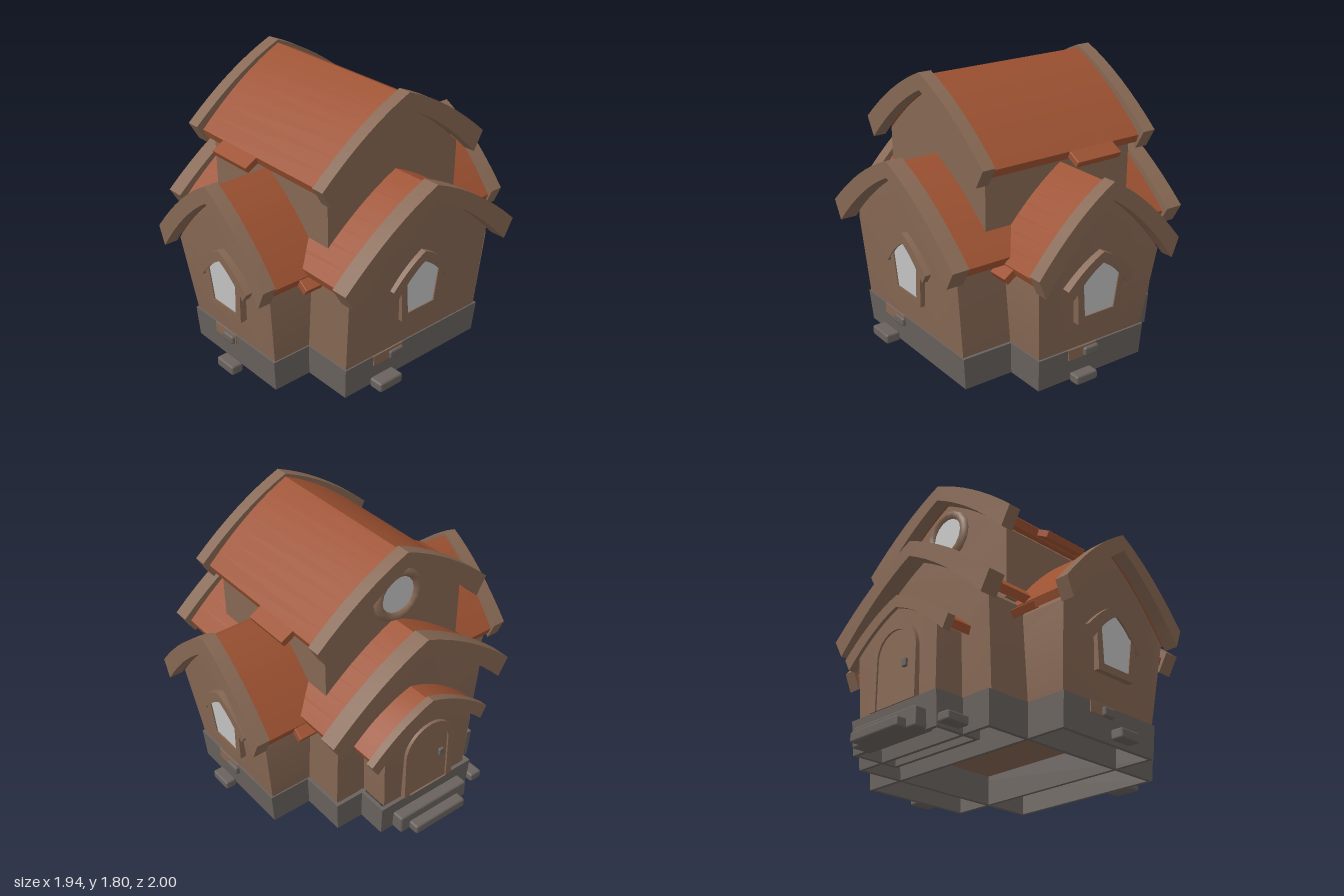
import * as THREE from 'three';
import { toCreasedNormals } from 'three/addons/utils/BufferGeometryUtils.js';
import { RoundedBoxGeometry } from 'three/addons/geometries/RoundedBoxGeometry.js';

const mat = (name, color) => {
  const m = new THREE.MeshStandardMaterial({ color });
  m.name = name;
  return m;
};

export function createModel() {
  const wood = mat('brown wood', 0x866753);
  const tile = mat('orange roof', 0x9c5131);
  const stone = mat('grey stone', 0x69625e);
  const glass = mat('pale glass', 0xc6c6c6);

  const house = new THREE.Group();
  house.name = 'house';

  const add = (parent, name, geometry, material, x = 0, y = 0, z = 0) => {
    const m = new THREE.Mesh(geometry, material);
    m.name = name;
    m.position.set(x, y, z);
    parent.add(m);
    return m;
  };
  const group = (parent, name, x = 0, y = 0, z = 0, turn = 0) => {
    const g = new THREE.Group();
    g.name = name;
    g.position.set(x, y, z);
    g.rotation.y = turn;
    parent.add(g);
    return g;
  };
  const block = (parent, name, material, x0, x1, y0, y1, z0, z1, r = 0.014) =>
    add(parent, name, new RoundedBoxGeometry(x1 - x0, y1 - y0, z1 - z0, 1, r), material,
      (x0 + x1) / 2, (y0 + y1) / 2, (z0 + z1) / 2);

  const shapeOf = pts => new THREE.Shape(pts.map(p => new THREE.Vector2(p[0], p[1])));
  const extrude = (shape, w0, w1) =>
    new THREE.ExtrudeGeometry(shape, { depth: w1 - w0, bevelEnabled: false, curveSegments: 8 }).translate(0, 0, w0);

  // Bowed gable line: height at a distance u from the ridge
  const lineY = (c, u) => {
    const t = Math.abs(u) / c.half;
    return c.apex + (c.tip - c.apex) * t + 4 * c.bow * t * (1 - t);
  };
  const innerLine = (c, k) => ({ half: c.half - k[0], apex: c.apex - k[1], tip: c.tip - k[2], bow: c.bow });
  const linePoints = (c, reach, n = 8) => {
    const pts = [];
    for (let i = -n; i <= n; i++) pts.push([reach * i / n, lineY(c, reach * i / n)]);
    return pts;
  };
  // Chevron band between an outer and an inner gable line
  const band = (c, k, w0, w1) => {
    const inner = innerLine(c, k);
    const pts = [...linePoints(c, c.half).reverse(), ...linePoints(inner, inner.half)];
    return toCreasedNormals(extrude(shapeOf(pts), w0, w1), 0.5);
  };

  // Wing: flared gabled walls, tiled roof and barge boards, running along local z
  const wing = (g, o) => {
    const inner = innerLine(o.roof, o.thick);
    const top = o.half[1];
    const pts = [[o.half[0], o.base], [top, o.eave], ...linePoints(inner, top - 0.001).reverse(),
      [-top, o.eave], [-o.half[0], o.base]];
    const walls = extrude(shapeOf(pts), o.w[0], o.w[1]);
    const p = walls.attributes.position;
    for (let i = 0; i < p.count; i++) {
      const k = Math.min(1, (p.getY(i) - o.base) / (o.eave - o.base));
      const far = Math.abs(p.getZ(i) - o.w[1]) < 1e-4;
      p.setZ(i, p.getZ(i) + k * (far ? o.flare[1] : -o.flare[0]));
    }
    add(g, 'walls', toCreasedNormals(walls, 0.4), wood);
    const tiles = { half: o.tileHalf, apex: o.roof.apex - 0.02, tip: o.tileTip, bow: o.roof.bow };
    add(g, 'roof', band(tiles, [0.02, 0.07, 0.05], o.tiles[0], o.tiles[1]), tile);
    for (const [a, b] of o.boards) add(g, 'bargeBoard', band(o.roof, o.thick, a, b), wood);
  };

  const HALF = Math.PI / 2;
  const thick = [0.07, 0.105, 0.12];

  const crossWing = group(house, 'frontBackWing', 0.085);
  wing(crossWing, {
    half: [0.395, 0.45], base: 0.2, eave: 0.73, w: [-0.83, 0.83], flare: [0.07, 0.07],
    roof: { half: 0.525, apex: 1.29, tip: 0.82, bow: 0.045 }, thick: [0.05, 0.11, 0.12],
    tileHalf: 0.495, tileTip: 0.785, tiles: [-0.915, 0.915], boards: [[-1, -0.91], [0.91, 1]],
  });

  const sideWing = group(house, 'sideWing', 0, 0, 0.01, HALF);
  wing(sideWing, {
    half: [0.555, 0.575], base: 0.2, eave: 0.74, w: [-0.6, 0.82], flare: [0.04, 0.045],
    roof: { half: 0.7, apex: 1.31, tip: 0.85, bow: 0.045 }, thick,
    tileHalf: 0.655, tileTip: 0.825, tiles: [-0.65, 0.87], boards: [[-0.76, -0.64], [0.86, 0.97]],
  });

  const upper = group(house, 'upperStorey', 0, 0, 0.015, HALF);
  wing(upper, {
    half: [0.52, 0.525], base: 0.85, eave: 1.27, w: [-0.45, 0.625], flare: [0, 0],
    roof: { half: 0.65, apex: 1.8, tip: 1.38, bow: 0.04 }, thick,
    tileHalf: 0.605, tileTip: 1.352, tiles: [-0.47, 0.65], boards: [[-0.55, -0.46], [0.64, 0.725]],
  });

  const porch = group(house, 'porch', 0, 0, 0, -HALF);
  wing(porch, {
    half: [0.33, 0.35], base: 0.2, eave: 0.58, w: [0.5, 0.8], flare: [0, 0.018],
    roof: { half: 0.465, apex: 0.91, tip: 0.63, bow: 0.035 }, thick: [0.045, 0.08, 0.08],
    tileHalf: 0.43, tileTip: 0.63, tiles: [0.58, 0.79], boards: [[0.785, 0.84]],
  });

  // Pointed window with frame and hood
  const addWindow = (x, y, z, turn, tilt) => {
    const g = group(group(house, 'window', x, y, z, turn), 'windowParts');
    g.rotation.x = tilt;
    const pane = [[-0.11, -0.16], [0.11, -0.16], [0.137, 0.08], [0, 0.17], [-0.137, 0.08]];
    const frame = shapeOf([[-0.155, -0.205], [0.155, -0.205], [0.18, 0.08], [0, 0.2], [-0.18, 0.08]]);
    frame.holes.push(shapeOf(pane));
    add(g, 'windowFrame', extrude(frame, -0.03, 0.026), wood);
    add(g, 'windowPane', extrude(shapeOf(pane), 0.01, 0.018), glass);
    add(g, 'windowHood', band({ half: 0.25, apex: 0.24, tip: 0.045, bow: 0.02 }, [0.045, 0.07, 0.065], -0.04, 0.032), wood);
  };
  addWindow(0.085, 0.6, 0.883, 0, 0.06);
  addWindow(0.085, 0.6, -0.883, Math.PI, 0.06);
  addWindow(0.85, 0.6, 0, HALF, 0.04);

  // Round attic window above the porch
  const attic = group(house, 'roundWindow', -0.452, 1.46, 0.025, -HALF);
  add(attic, 'roundFrame', new THREE.TorusGeometry(0.15, 0.032, 6, 16), wood);
  add(attic, 'roundPane', new THREE.CircleGeometry(0.14, 16), glass, 0, 0, 0.008);

  // Arched door
  const arch = (r, top) => {
    const s = new THREE.Shape();
    s.moveTo(-r, 0.21);
    s.lineTo(r, 0.21);
    s.lineTo(r, top);
    s.absarc(0, top, r, 0, Math.PI, false);
    s.closePath();
    return s;
  };
  const doorFrame = arch(0.195, 0.53);
  doorFrame.holes.push(arch(0.15, 0.53));
  add(porch, 'doorFrame', toCreasedNormals(extrude(doorFrame, 0.79, 0.838), 0.5), wood);
  add(porch, 'door', extrude(arch(0.152, 0.53), 0.79, 0.826), wood);
  block(porch, 'doorHandle', stone, 0.08, 0.115, 0.42, 0.47, 0.82, 0.845, 0.005);

  // Hollow stone footings with thin walls, narrower at the ground
  const footing = (x0, x1, z0, z1) => {
    const rect = d => shapeOf([[x0 + d, z0 + d], [x1 - d, z0 + d], [x1 - d, z1 - d], [x0 + d, z1 - d]]);
    const s = rect(0);
    s.holes.push(rect(0.025));
    const geo = extrude(s, 0, 0.21).rotateX(HALF).translate(0, 0.21, 0);
    const p = geo.attributes.position;
    for (let i = 0; i < p.count; i++) {
      if (p.getY(i) < 0.1) p.setXYZ(i, p.getX(i) * 0.98, 0, p.getZ(i) * 0.98);
    }
    geo.computeVertexNormals();
    add(house, 'footing', geo, stone);
  };
  footing(-0.63, 0.83, -0.565, 0.575);
  footing(-0.32, 0.49, -0.845, 0.845);
  footing(-0.83, -0.5, -0.37, 0.37);

  // Steps and loose stones
  block(house, 'lowerStep', stone, -0.97, -0.78, 0, 0.065, -0.2, 0.21);
  block(house, 'upperStep', stone, -0.9, -0.76, 0, 0.125, -0.27, 0.28);
  block(house, 'frontGroundStone', stone, 0.04, 0.2, 0, 0.065, 0.865, 0.95);
  block(house, 'backGroundStone', stone, 0.1, 0.26, 0, 0.06, -0.92, -0.84);
  block(house, 'sideGroundStone', stone, 0.825, 0.925, 0, 0.065, 0.19, 0.375);
  block(house, 'porchGroundStone', stone, -0.84, -0.68, 0, 0.06, 0.39, 0.48);
  block(house, 'frontStone', stone, 0, 0.1, 0.14, 0.2, 0.8, 0.87);
  block(house, 'backStone', stone, 0.05, 0.16, 0.14, 0.2, -0.87, -0.8);
  block(house, 'sideStone', stone, 0.78, 0.85, 0.135, 0.195, 0.11, 0.225);

  // Bare wood patches in the footing
  block(house, 'frontPatch', wood, -0.1, 0.11, 0.14, 0.212, 0.84, 0.849, 0.002);
  block(house, 'backPatch', wood, 0.06, 0.27, 0.14, 0.212, -0.849, -0.84, 0.002);
  block(house, 'sidePatch', wood, 0.825, 0.834, 0.14, 0.212, 0.11, 0.35, 0.002);

  // Loose tiles continuing the slope at the eaves
  for (const s of [-1, 1]) {
    const z = 0.015 + s * 0.63;
    const long = block(house, 'eaveTiles', tile, -0.25, 0.08, 1.292, 1.336, z - 0.055, z + 0.055, 0.004);
    long.rotation.x = s * 0.5;
    for (const e of [-1, 1]) {
      const x = 0.085 + e * 0.5;
      const t = block(house, 'cornerTile', tile, x - 0.05, x + 0.05, 0.715, 0.765, s * 0.64 - 0.07, s * 0.64 + 0.07, 0.004);
      t.rotation.z = -e * 0.6;
    }
  }

  return house;
}
